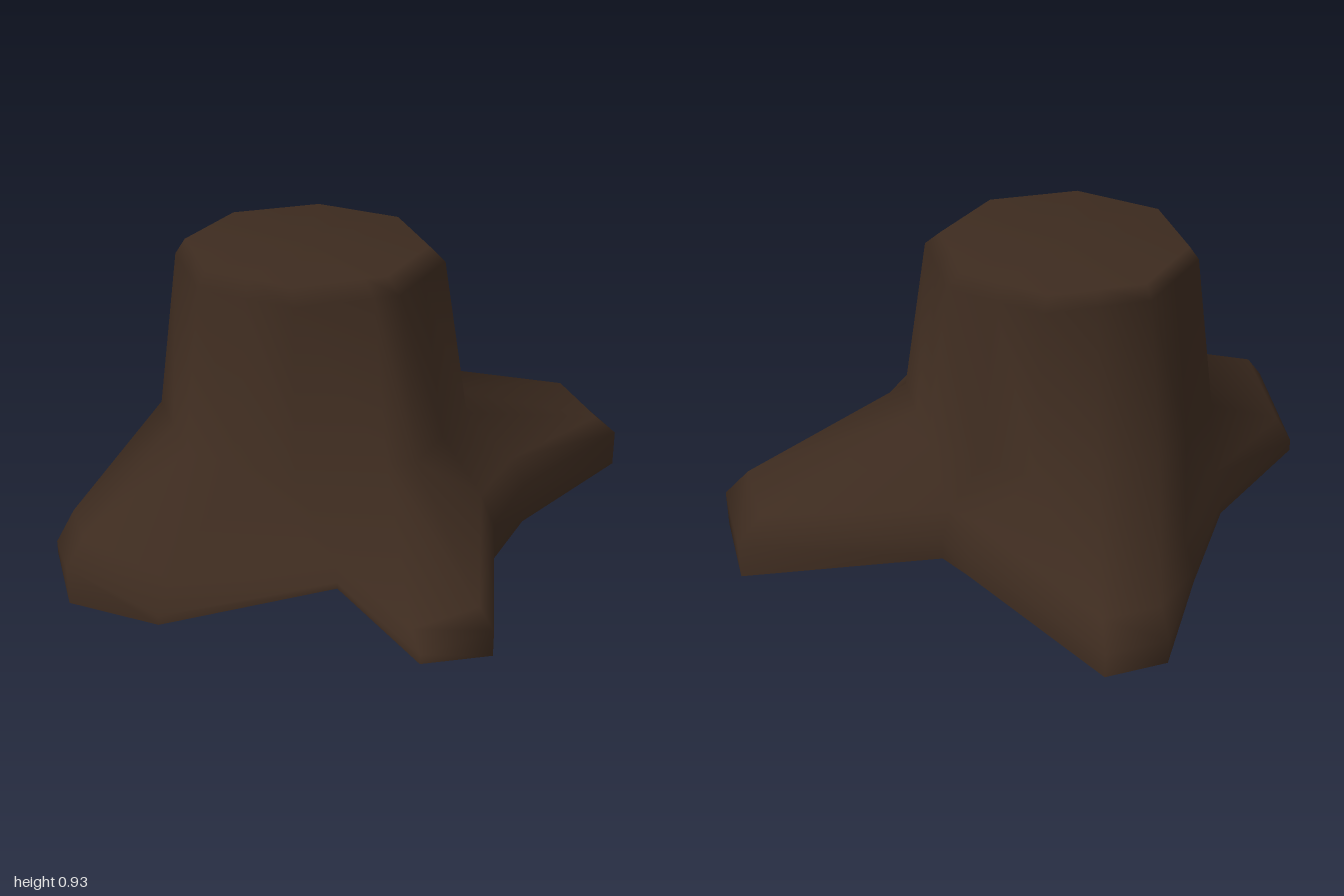
import * as THREE from 'three';

// Ground outline of the flared roots, anticlockwise from the front:
// [x, z, base y, lip y, shoulder y, position on the eight-sided trunk]
const OUTLINE = [
  [-0.08, 1.00, 0.02, 0.14, 0.22, 0],      // front root
  [0.20, 0.87, 0.03, 0.06, 0.15, 0.5],
  [0.48, 0.43, 0.11, 0.13, 0.17, 1],
  [0.89, 0.48, 0.09, 0.12, 0.155, 1.75],   // left root
  [0.98, 0.29, 0.08, 0.16, 0.195, 2],
  [0.57, -0.12, 0.03, 0.16, 0.25, 2.5],
  [0.43, -0.40, 0.005, 0.14, 0.23, 3],
  [0.38, -0.90, 0.03, 0.15, 0.22, 3.5],    // back root
  [0.11, -1.00, 0.03, 0.15, 0.23, 4],
  [-0.23, -0.49, 0.07, 0.14, 0.23, 4.5],
  [-0.34, -0.47, 0.06, 0.13, 0.23, 5],
  [-0.92, -0.42, 0.04, 0.12, 0.19, 5.5],   // right root
  [-0.98, -0.24, 0.04, 0.12, 0.19, 6],
  [-0.74, 0.08, 0.03, 0.07, 0.15, 6.5],
  [-0.52, 0.40, 0.025, 0.07, 0.16, 7],
  [-0.37, 0.87, 0.01, 0.05, 0.15, 7.5],
];
const CX = -0.085, CZ = 0.07;

// Ring around the trunk: an octagon sampled at each outline position,
// with corners at whole values of t
function trunkRing(cx, r, y) {
  return OUTLINE.map((p) => {
    const k = Math.floor(p[5]), f = p[5] - k;
    const a = (k * Math.PI) / 4, b = ((k + 1) * Math.PI) / 4;
    return [
      cx + r * (Math.sin(a) * (1 - f) + Math.sin(b) * f), y,
      CZ + r * (Math.cos(a) * (1 - f) + Math.cos(b) * f),
    ];
  });
}

// Skin stacked rings from the top down, closing the top with a fan
function skin(rings, top) {
  const n = rings[0].length;
  const pos = [...rings.flat(2), ...top];
  const centre = rings.length * n;
  const index = [];
  for (let i = 0; i < n; i++) {
    const j = (i + 1) % n;
    index.push(centre, i, j);
    for (let r = 0; r < rings.length - 1; r++) {
      const u = r * n, d = u + n;
      index.push(u + i, d + i, d + j, u + i, d + j, u + j);
    }
  }
  const g = new THREE.BufferGeometry();
  g.setAttribute('position', new THREE.Float32BufferAttribute(pos, 3));
  g.setIndex(index);
  g.computeVertexNormals();
  return g;
}

export function createModel() {
  const group = new THREE.Group();
  group.name = 'treeStump';
  const bark = new THREE.MeshStandardMaterial({ color: 0x3d2b1f, side: THREE.DoubleSide });
  bark.name = 'dark bark';

  const inset = 0.93;
  const rings = [
    trunkRing(-0.1, 0.38, 0.935),      // cut top
    trunkRing(CX, 0.42, 0.89),         // worn edge
    trunkRing(-0.075, 0.495, 0.38),    // foot of trunk
    OUTLINE.map((p) => [CX + (p[0] - CX) * inset, p[4], CZ + (p[1] - CZ) * inset]),
    OUTLINE.map((p) => [p[0], p[3], p[1]]),  // root lip
    OUTLINE.map((p) => [p[0], p[2], p[1]]),  // open base
  ];
  const stump = new THREE.Mesh(skin(rings, [-0.1, 0.935, CZ]), bark);
  stump.name = 'trunkAndRoots';
  group.add(stump);
  return group;
}
